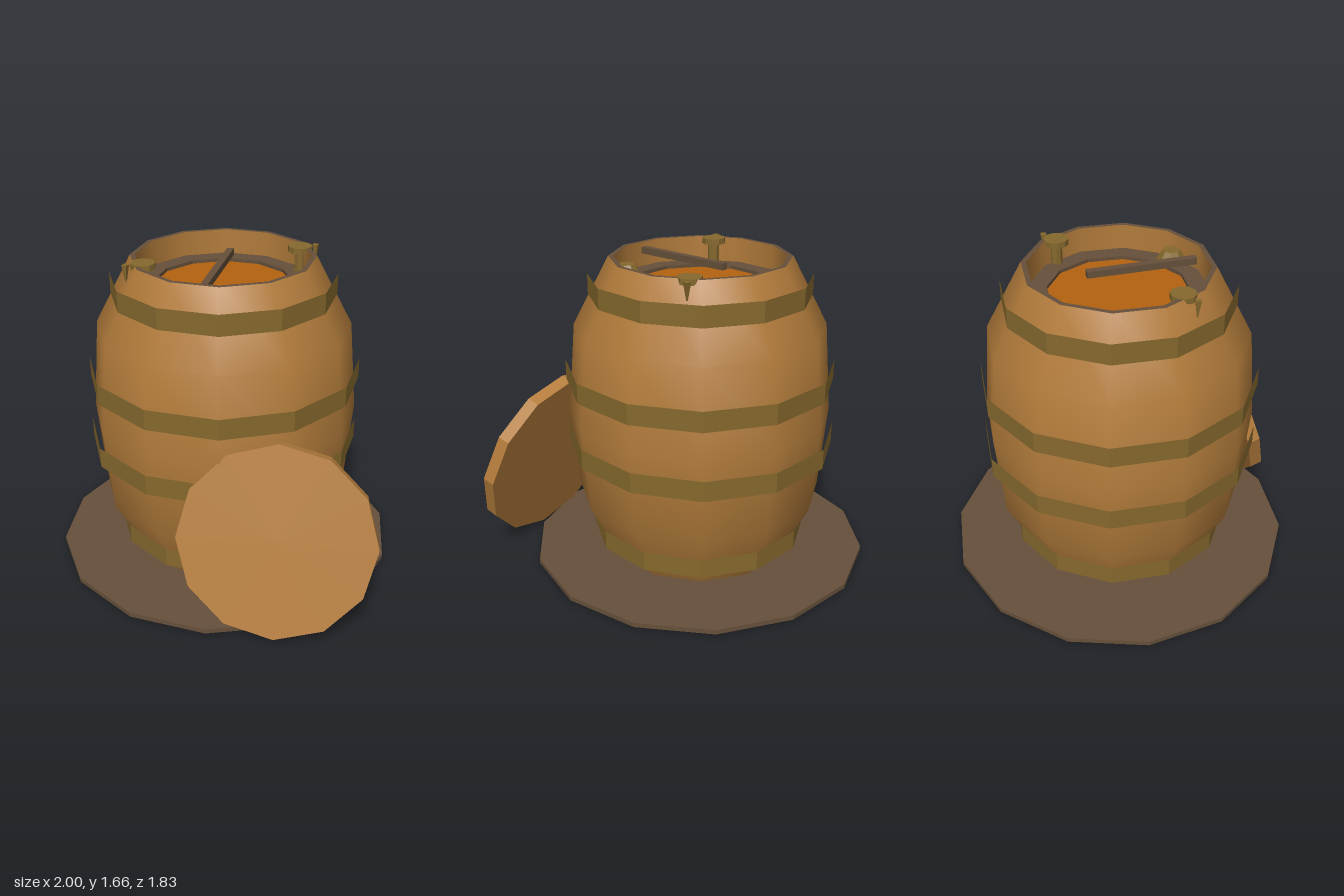
import * as THREE from 'three';

const SIDES = 12;
const material = (color, flat = true, side = THREE.FrontSide) =>
  new THREE.MeshStandardMaterial({ color, flatShading: flat, side });

const wood = material(0xb37c3b);
const woodSmooth = material(0xb37c3b, false);
const brass = material(0x86692d);
const darkWood = material(0x66503a);
const brew = material(0xb5620f);

function add(parent, name, geometry, mat, x = 0, y = 0, z = 0) {
  const mesh = new THREE.Mesh(geometry, mat);
  mesh.name = name;
  mesh.position.set(x, y, z);
  parent.add(mesh);
  return mesh;
}

const lathe = (points) =>
  new THREE.LatheGeometry(points.map(([r, y]) => new THREE.Vector2(r, y)), SIDES);

export function createModel() {
  const model = new THREE.Group();
  model.name = 'openBarrel';

  // Everything but the loose lid is centred on the barrel axis
  const barrel = new THREE.Group();
  barrel.name = 'barrel';
  barrel.position.x = -0.11;
  model.add(barrel);

  // Ground disc
  add(barrel, 'groundDisc', new THREE.CylinderGeometry(0.915, 0.915, 0.025, 14), darkWood, 0, 0.0225, 0);

  // Bulging staves and the bottom
  add(barrel, 'staves', lathe([[0.47, 0], [0.66, 0.37], [0.7, 0.83], [0.66, 1.3], [0.47, 1.66]]), woodSmooth);
  add(barrel, 'bottom', new THREE.CircleGeometry(0.47, SIDES).rotateX(Math.PI / 2), wood);

  // Lip, inner wall and the ledge round the drink
  add(barrel, 'lip', lathe([[0.47, 1.66], [0.445, 1.66]]), darkWood);
  add(barrel, 'innerWall', lathe([[0.445, 1.66], [0.445, 1.53]]), woodSmooth);
  add(barrel, 'ledge', lathe([[0.445, 1.53], [0.35, 1.53], [0.35, 1.51]]), darkWood);
  add(barrel, 'drink', new THREE.CircleGeometry(0.355, SIDES).rotateX(-Math.PI / 2).rotateY(Math.PI / 6), brew, 0, 1.512, 0);

  // Hoops: open bands [radius, centre height, x shift]
  for (const [r, y, x] of [[0.58, 1.515, 0], [0.713, 1.048, 0], [0.715, 0.683, -0.01], [0.585, 0.173, 0]]) {
    add(barrel, 'hoop', new THREE.CylinderGeometry(r, r, 0.108, SIDES, 1, true), brass, x, y, 0);
  }

  // Stirring stick across the opening
  const stick = add(barrel, 'stick', new THREE.BoxGeometry(0.035, 0.035, 0.55), darkWood, 0.04, 1.63, 0.11);
  stick.rotation.y = Math.atan2(0.18, 0.52);

  // Two clips on the rim, opposite each other
  for (const [x, z] of [[-0.27, 0.31], [0.26, -0.33]]) {
    const clip = new THREE.Group();
    clip.name = 'rimClip';
    clip.position.set(x, 0, z);
    clip.rotation.y = Math.atan2(x, z);
    barrel.add(clip);
    add(clip, 'clipCap', new THREE.CylinderGeometry(0.063, 0.063, 0.03, 10), brass, 0, 1.648, 0);
    add(clip, 'clipStem', new THREE.CylinderGeometry(0.03, 0.03, 0.11, 8), brass, 0, 1.58, 0);
    add(clip, 'clipHook', new THREE.CylinderGeometry(0.02, 0.004, 0.09, 4), brass, 0, 1.615, 0.088);
  }

  // Faceted knob lying on the ledge
  add(barrel, 'knob', new THREE.CylinderGeometry(0.045, 0.08, 0.06, 8), brass, 0.295, 1.57, 0.25);

  // Lid leaning on the barrel: axis along its normal, one corner near the top
  const normal = new THREE.Vector3(0.378, 0.277, 0.883).normalize();
  const corner = new THREE.Vector3(-0.06, 0.472, -0.122);
  corner.addScaledVector(normal, -corner.dot(normal)).normalize();
  const across = new THREE.Vector3().crossVectors(normal, corner);
  const lid = add(model, 'lid', new THREE.CylinderGeometry(0.492, 0.492, 0.07, SIDES), wood);
  lid.quaternion.setFromRotationMatrix(new THREE.Matrix4().makeBasis(across, normal, corner));
  lid.position.set(0.545, 0.498, 0.585).addScaledVector(normal, -0.035);

  return model;
}
